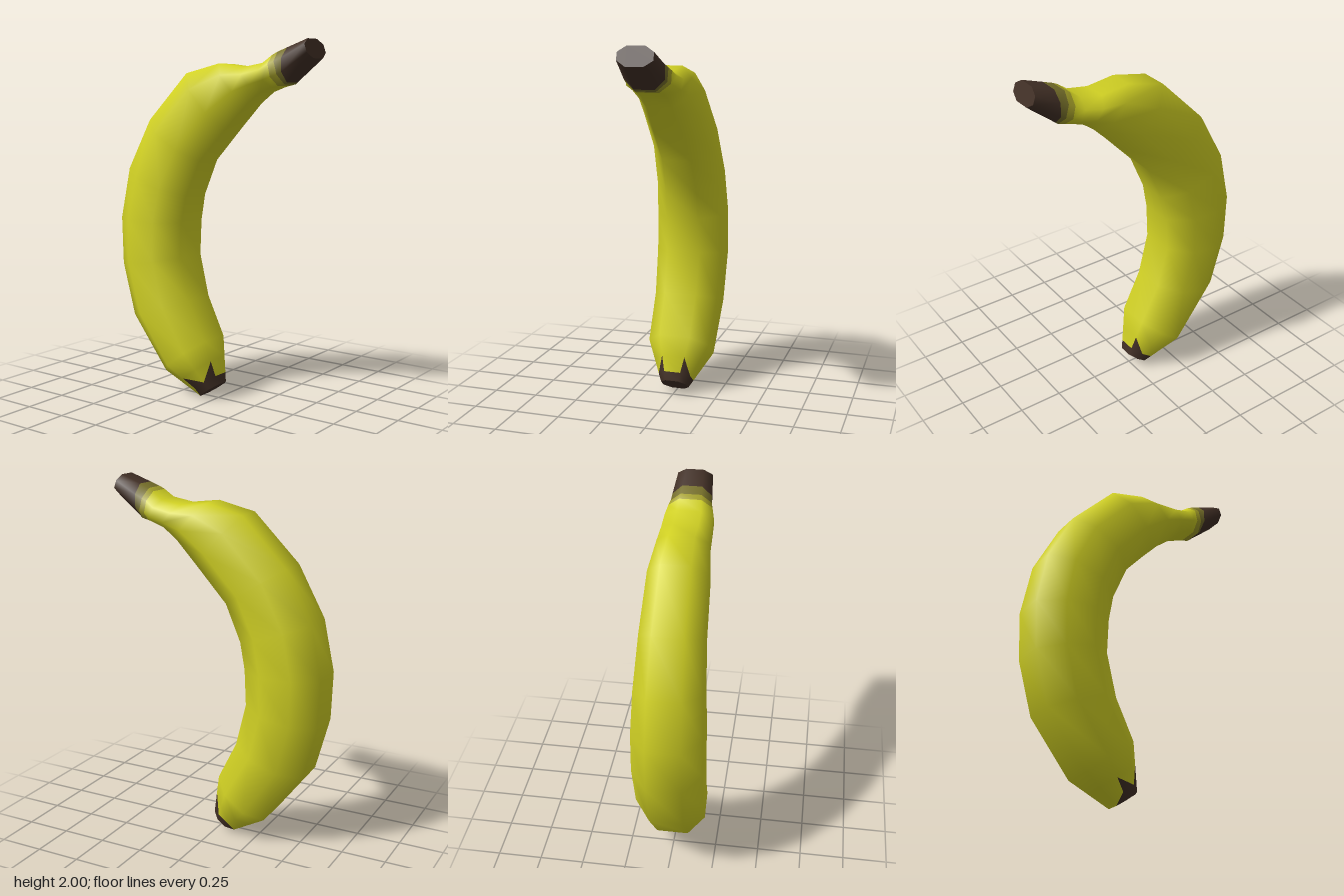
import * as THREE from 'three';

// Cross-sections from blossom tip to stem: outer x, y, inner x, y, half depth
const RINGS = [
  [-0.10, 0.00, 0.025, 0.09, 0.075],
  [-0.31, 0.13, -0.03, 0.34, 0.18],
  [-0.54, 0.43, -0.14, 0.56, 0.187],
  [-0.62, 0.73, -0.20, 0.80, 0.193],
  [-0.63, 1.00, -0.19, 1.00, 0.19],
  [-0.57, 1.29, -0.16, 1.15, 0.18],
  [-0.42, 1.57, -0.07, 1.35, 0.167],
  [-0.16, 1.83, 0.10, 1.53, 0.157],
  [0.05, 1.88, 0.24, 1.67, 0.137],
  [0.21, 1.86, 0.32, 1.73, 0.135],
  [0.33, 1.88, 0.39, 1.755, 0.132],
  [0.40, 1.93, 0.46, 1.77, 0.112],
  [0.59, 2.00, 0.625, 1.90, 0.095],
];

// Eight-sided section: u runs from inner (-1) to outer (+1), v across the depth
const SECTION = [[1, 0.5], [0.41, 1], [-0.41, 1], [-1, 0.5], [-1, -0.5], [-0.41, -1], [0.41, -1], [1, -0.5]];
const SIDES = SECTION.length;

// Ring between two others, with separate positions for outer and inner edge
function between(a, b, tOuter, tInner = tOuter) {
  const t = [tOuter, tOuter, tInner, tInner, (tOuter + tInner) / 2];
  return a.map((v, i) => v + (b[i] - v) * t[i]);
}

function ringPoints([ox, oy, ix, iy, w]) {
  return SECTION.map(([u, v]) => new THREE.Vector3(
    (ox + ix) / 2 + (u * (ox - ix)) / 2,
    (oy + iy) / 2 + (u * (oy - iy)) / 2,
    v * w,
  ));
}

// Flat end of the fruit
function cap(ring, reverse) {
  const pts = ringPoints(ring);
  const index = [];
  for (let k = 1; k < SIDES - 1; k++) index.push(...(reverse ? [0, k + 1, k] : [0, k, k + 1]));
  const geo = new THREE.BufferGeometry().setFromPoints(pts);
  geo.setIndex(index);
  geo.computeVertexNormals();
  return geo;
}

export function createModel() {
  const mat = (name, color) => {
    const m = new THREE.MeshStandardMaterial({ color });
    m.name = name;
    return m;
  };
  const materials = [
    mat('yellow peel', 0xd2d224),
    mat('olive', 0xa5a029),
    mat('dark olive', 0x77702a),
    mat('brown', 0x423026),
  ];
  const [YELLOW, OLIVE, DARK, BROWN] = [0, 1, 2, 3];

  // Extra rings where the colour changes at the tip and the stem
  const R = RINGS;
  const rings = [
    R[0], between(R[0], R[1], 0.2), between(R[0], R[1], 0.55),
    ...R.slice(1, 11),
    between(R[10], R[11], 0.8, 0.45), between(R[11], R[12], 0.08, 0),
    between(R[11], R[12], 0.38, 0.08), R[12],
  ];
  const last = rings.length - 2;
  const stemColours = { [last]: BROWN, [last - 1]: DARK, [last - 2]: OLIVE };

  // Ragged brown edge at the tip: [lower row facets, spikes by facet -> apex side]
  const tipFacets = [1, 2, 3, 4, 5];
  const spikes = { 1: 'near', 2: 'far', 4: 'near' };

  const faces = [[], [], [], []];
  for (let r = 0; r <= last; r++) {
    for (let k = 0; k < SIDES; k++) {
      const a = r * SIDES + k;
      const b = r * SIDES + ((k + 1) % SIDES);
      const c = b + SIDES;
      const d = a + SIDES;
      let lower = stemColours[r] ?? YELLOW;
      let upper = lower;
      if (r === 0) {
        if (tipFacets.includes(k)) lower = upper = BROWN;
        else if (k !== 7) lower = BROWN;
      }
      if (r === 1 && spikes[k]) lower = BROWN;
      const apexFar = r === 1 ? spikes[k] === 'far' : r === 0 && k === 0;
      if (apexFar) {
        faces[lower].push(a, b, c);
        faces[upper].push(a, c, d);
      } else {
        faces[lower].push(a, b, d);
        faces[upper].push(b, c, d);
      }
    }
  }

  // Smooth curved body with one group per colour
  const body = new THREE.BufferGeometry().setFromPoints(rings.flatMap(ringPoints));
  body.setIndex(faces.flat());
  let start = 0;
  faces.forEach((f, i) => {
    body.addGroup(start, f.length, i);
    start += f.length;
  });
  body.computeVertexNormals();

  const group = new THREE.Group();
  group.name = 'banana';
  const add = (name, geo, material) => {
    const mesh = new THREE.Mesh(geo, material);
    mesh.name = name;
    group.add(mesh);
  };
  add('peel', body, materials);
  add('blossomTip', cap(R[0], true), materials[BROWN]);
  add('stemEnd', cap(R[12], false), materials[BROWN]);
  return group;
}
